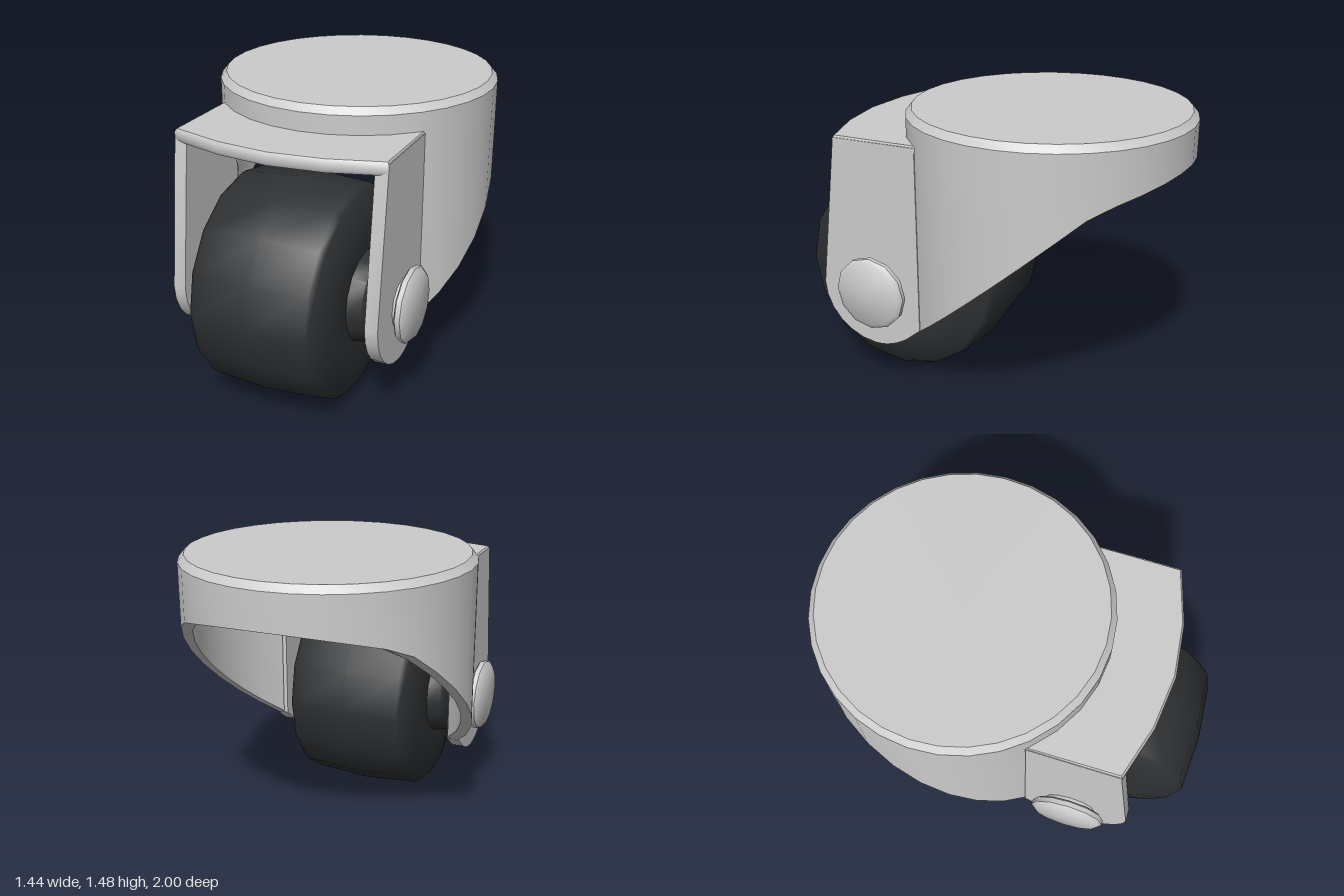
import * as THREE from 'three';
import { toCreasedNormals } from 'three/addons/utils/BufferGeometryUtils.js';

const grey = new THREE.MeshStandardMaterial({ color: 0xcccccc });
const rubber = new THREE.MeshStandardMaterial({ color: 0x2e3032 });
const AXLE_Y = 0.56, AXLE_Z = 0.445;
const HOOD_Z = -0.275, HOOD_R = 0.72;

function part(name, geometry, material = grey, crease = 0.7) {
  const mesh = new THREE.Mesh(toCreasedNormals(geometry, crease), material);
  mesh.name = name;
  return mesh;
}

// Lathe turned around the axle line; profile pairs are [x along axle, radius]
function turned(profile, sides) {
  const g = new THREE.LatheGeometry(profile.map(([x, r]) => new THREE.Vector2(r, x)), sides);
  return g.rotateZ(-Math.PI / 2).translate(0, AXLE_Y, AXLE_Z);
}

// Lower edge of the swept hood skirt for a given z
function skirtBottom(z) {
  return z < -0.72 ? 1.16 + (-0.72 - z) * 0.36 : 1.16 - 0.856 * (z + 0.72);
}

// Hollow round hood: full lid, skirt cut on a slant, short lip between the arms
function hoodGeometry() {
  const open = Math.asin(0.53 / HOOD_R);
  const columns = [];
  const addColumn = (a, front) => {
    const point = (r, y) => {
      const z = HOOD_Z + r * Math.cos(a);
      return [r * Math.sin(a), y ?? (front ? 1.28 : skirtBottom(z)), z];
    };
    columns.push([
      point(0, 1.475), point(0.69, 1.475), point(HOOD_R, 1.44), point(HOOD_R),
      point(0.665), point(0.665, 1.41), point(0, 1.41),
    ]);
  };
  for (let i = 0; i <= 8; i++) addColumn(-open + (2 * open * i) / 8, true);
  for (let i = 0; i <= 24; i++) addColumn(open + ((2 * Math.PI - 2 * open) * i) / 24, false);

  const pos = [];
  columns.forEach((a, i) => {
    const b = columns[(i + 1) % columns.length];
    for (let p = 0; p < a.length - 1; p++) {
      if (p > 0) pos.push(...a[p], ...b[p + 1], ...b[p]);
      if (p < a.length - 2) pos.push(...a[p], ...a[p + 1], ...b[p + 1]);
      else pos.push(...a[p], ...a[p + 1], ...b[p]);
    }
  });
  const g = new THREE.BufferGeometry();
  g.setAttribute('position', new THREE.Float32BufferAttribute(pos, 3));
  return g;
}

// Flat fork arm with rounded foot, drawn in (z, y)
function armGeometry(outerX) {
  const s = new THREE.Shape();
  s.moveTo(0.2, 1.335);
  s.lineTo(0.2, 0.375);
  s.lineTo(0.28, 0.31);
  s.quadraticCurveTo(0.37, 0.25, 0.46, 0.255);
  s.bezierCurveTo(0.62, 0.265, 0.75, 0.4, 0.75, 0.55);
  s.lineTo(0.655, 1.3);
  s.lineTo(0.65, 1.335);
  return new THREE.ExtrudeGeometry(s, { depth: 0.065, bevelEnabled: false, curveSegments: 6 })
    .rotateY(-Math.PI / 2).translate(outerX, 0, 0);
}

// Bowed bridge plate joining the arms, drawn in (x, z)
function bridgeGeometry() {
  const a = Math.asin(0.54 / 0.69), backZ = HOOD_Z + 0.69 * Math.cos(a);
  const s = new THREE.Shape();
  s.moveTo(-0.54, backZ);
  s.lineTo(-0.54, 0.65);
  s.lineTo(-0.27, 0.73);
  s.lineTo(0, 0.76);
  s.lineTo(0.27, 0.73);
  s.lineTo(0.54, 0.65);
  s.lineTo(0.54, backZ);
  s.absarc(0, HOOD_Z, 0.69, Math.PI / 2 - a, Math.PI / 2 + a, false);
  return new THREE.ExtrudeGeometry(s, {
    depth: 0.035, bevelThickness: 0.015, bevelSize: 0.01, bevelOffset: -0.005, bevelSegments: 1, curveSegments: 8,
  }).rotateX(Math.PI / 2).translate(0, 1.33, 0);
}

export function createModel() {
  const model = new THREE.Group();
  model.name = 'caster';

  // Fork housing
  model.add(part('hood', hoodGeometry()));
  model.add(part('bridgePlate', bridgeGeometry()));
  model.add(part('leftArm', armGeometry(0.545)));
  model.add(part('rightArm', armGeometry(-0.48)));

  // Crowned wheel with raised hubs
  const half = [[0.445, 0], [0.445, 0.19], [0.425, 0.22], [0.355, 0.235],
    [0.36, 0.35], [0.315, 0.52], [0.29, 0.54]];
  const profile = [...half.map(([x, r]) => [-x, r]), [0, 0.56], ...half.slice().reverse()];
  model.add(part('wheel', turned(profile, 16), rubber, 0.8));

  // Axle and its domed end caps
  model.add(part('axle', turned([[-0.58, 0], [-0.58, 0.13], [0.58, 0.13], [0.58, 0]], 12)));
  const cap = [[0.57, 0], [0.57, 0.175], [0.58, 0.19], [0.605, 0.19], [0.625, 0.165], [0.633, 0]];
  model.add(part('leftCap', turned(cap, 12)));
  model.add(part('rightCap', turned(cap.map(([x, r]) => [-x, r]).reverse(), 12)));

  return model;
}
